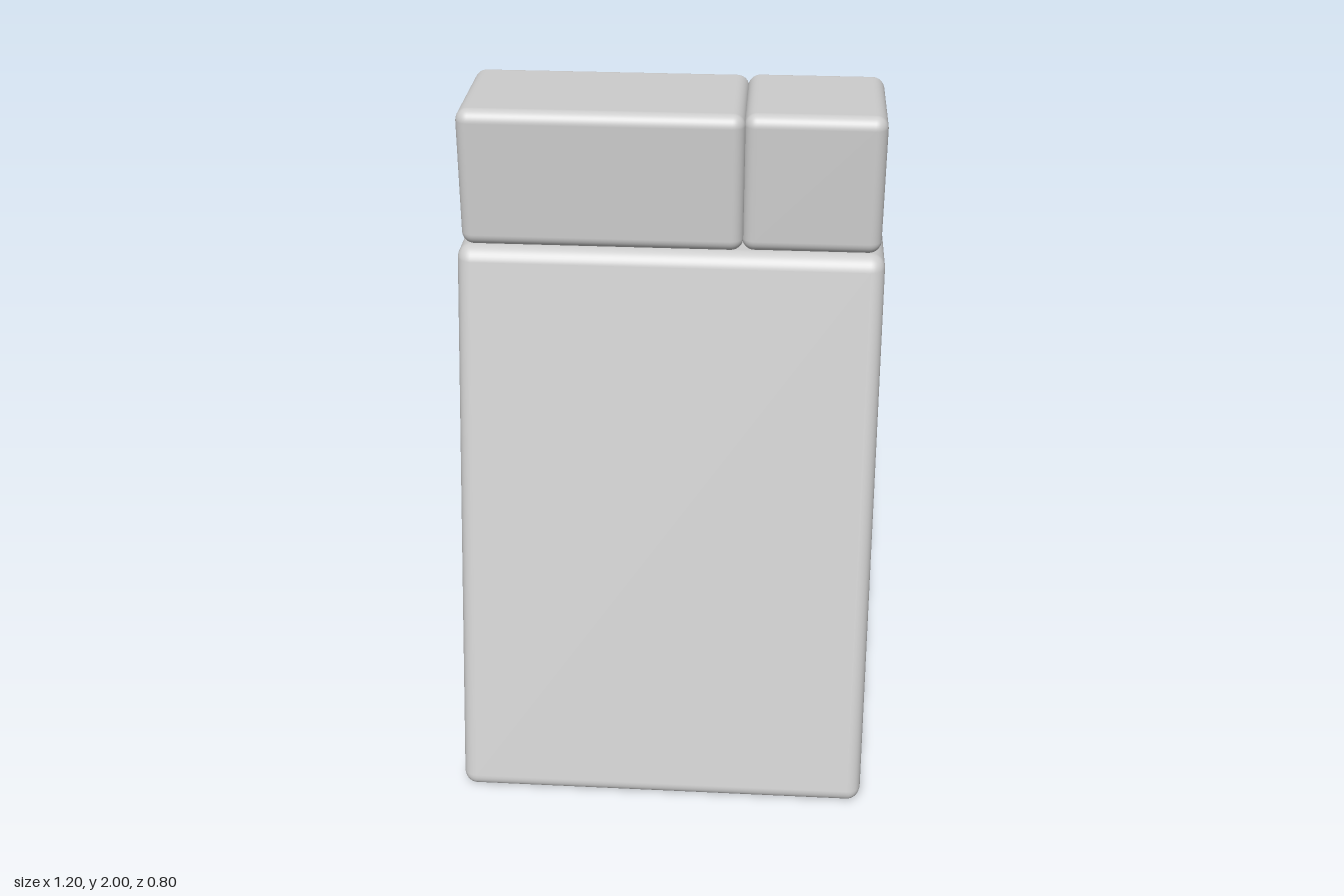
import * as THREE from 'three';
import { RoundedBoxGeometry } from 'three/addons/geometries/RoundedBoxGeometry.js';
import { mergeVertices } from 'three/addons/utils/BufferGeometryUtils.js';

const material = new THREE.MeshStandardMaterial({ color: 0xcccccc });

// Rounded block given by its minimum and maximum corners
function block(name, min, max, radius, slope = 0) {
  const size = max.map((v, i) => v - min[i]);
  let geometry = new RoundedBoxGeometry(...size, 5, radius);
  geometry.translate(...min.map((v, i) => v + size[i] / 2));
  if (slope) {
    // Lean the front face back with height, keeping the back upright
    const p = geometry.attributes.position;
    const middle = (min[2] + max[2]) / 2;
    for (let i = 0; i < p.count; i++) {
      if (p.getZ(i) > middle) p.setZ(i, p.getZ(i) - slope * (p.getY(i) - min[1]));
    }
    geometry.deleteAttribute('normal');
    geometry.deleteAttribute('uv');
    geometry = mergeVertices(geometry, 1e-5);
    geometry.computeVertexNormals();
  }
  const mesh = new THREE.Mesh(geometry, material);
  mesh.name = name;
  return mesh;
}

export function createModel() {
  const group = new THREE.Group();
  group.name = 'wedgeWithTopBlocks';
  group.add(
    // Wedge-shaped body
    block('body', [-0.6, 0, -0.395], [0.6, 1.605, 0.405], 0.04, 0.25),
    // Long and short blocks along the top
    block('longTopBlock', [-0.585, 1.607, -0.398], [0.204, 2, 0.002], 0.035),
    block('shortTopBlock', [0.2, 1.605, -0.404], [0.587, 2, -0.008], 0.035),
  );
  return group;
}
